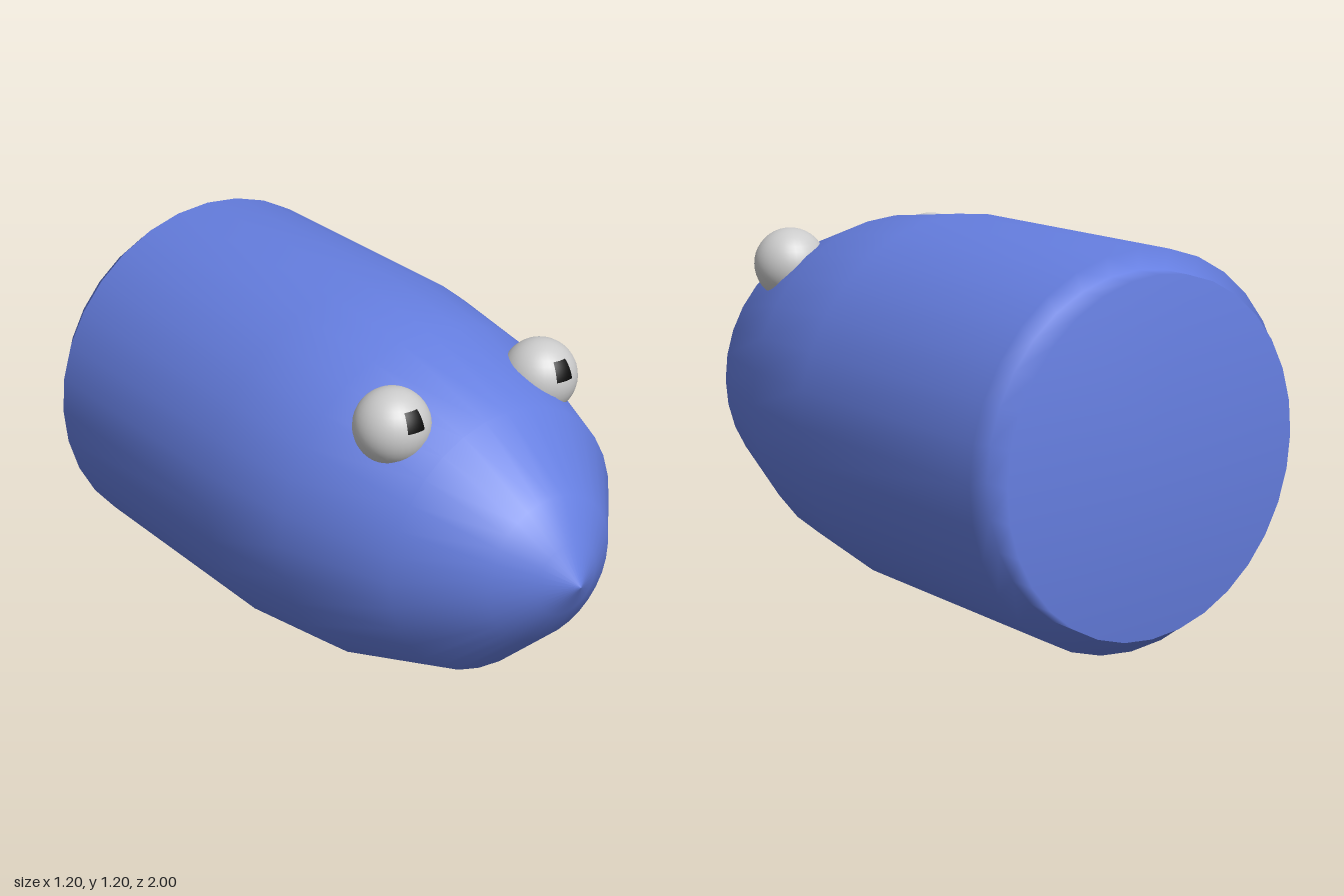
import * as THREE from 'three';

const R = 0.117; // eye radius

// One eyeball with a dark pupil patch lying just above its front surface
function makeEye(name, x, white, black) {
  const eye = new THREE.Group();
  eye.name = name;
  eye.position.set(x, 1.0, 0.47);

  const ball = new THREE.Mesh(new THREE.SphereGeometry(R, 32, 20), white);
  ball.name = 'eyeball';

  const halfWidth = 0.26;
  const pupil = new THREE.Mesh(
    new THREE.SphereGeometry(R + 0.003, 6, 6, Math.PI / 2 - halfWidth, halfWidth * 2, 0.84, 0.54),
    black
  );
  pupil.name = 'pupil';

  eye.add(ball, pupil);
  return eye;
}

export function createModel() {
  const model = new THREE.Group();
  model.name = 'bulletCreature';

  const blue = new THREE.MeshStandardMaterial({ color: 0x657ee0 });
  const white = new THREE.MeshStandardMaterial({ color: 0xcccccc });
  const black = new THREE.MeshStandardMaterial({ color: 0x080808, side: THREE.DoubleSide });

  // Bullet-shaped body: [radius, z] from the stepped tail to the pointed nose
  const profile = [
    [0, -1], [0.538, -1], [0.538, -0.91], [0.6, -0.91], [0.6, -0.06],
    [0.555, 0.28], [0.428, 0.65], [0.232, 0.86], [0.115, 0.935], [0, 1],
  ].map(([r, z]) => new THREE.Vector2(r, z));
  const body = new THREE.Mesh(new THREE.LatheGeometry(profile, 32).rotateX(Math.PI / 2), blue);
  body.name = 'body';
  body.position.y = 0.6;
  model.add(body);

  // Mirrored eyes on the upper front
  model.add(makeEye('leftEye', 0.283, white, black), makeEye('rightEye', -0.283, white, black));

  return model;
}
